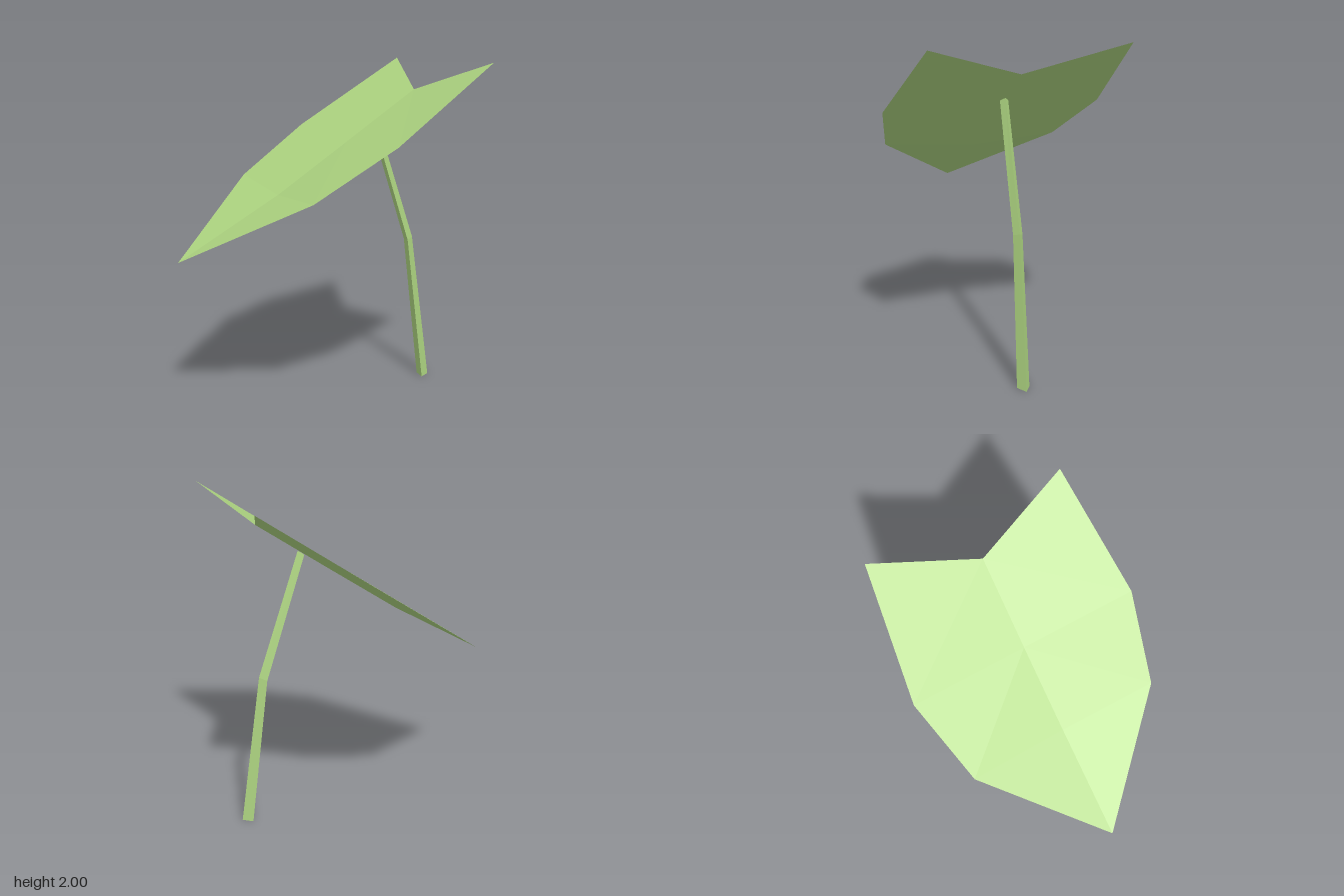
import * as THREE from 'three';

// Flat-shaded mesh from points and triangles
function facetMesh(name, points, triangles, material) {
  const geometry = new THREE.BufferGeometry();
  geometry.setAttribute('position', new THREE.Float32BufferAttribute(points.flat(), 3));
  geometry.setIndex(triangles.flat());
  const flat = geometry.toNonIndexed();
  flat.computeVertexNormals();
  const mesh = new THREE.Mesh(flat, material);
  mesh.name = name;
  return mesh;
}

export function createModel() {
  const group = new THREE.Group();
  group.name = 'leafOnStem';
  const green = new THREE.MeshStandardMaterial({
    color: 0xaed581, flatShading: true, side: THREE.DoubleSide,
  });
  green.name = 'leafGreen';

  // Leaf blade: tip, then rows of right edge, midrib and left edge up to the notch
  const blade = [
    [-0.745, 0.92, 0.805],
    [-0.78, 1.295, 0.0], [-0.35, 1.255, 0.363], [0.06, 1.295, 0.75],
    [-0.57, 1.58, -0.4], [-0.06, 1.54, 0.035], [0.43, 1.58, 0.49],
    [-0.065, 2.0, -0.81], [0.235, 1.83, -0.295], [0.78, 2.0, -0.055],
  ];
  const bladeFaces = [[0, 2, 1], [0, 3, 2]];
  for (const r of [1, 4]) {
    bladeFaces.push([r, r + 1, r + 4], [r, r + 4, r + 3]); // right half
    bladeFaces.push([r + 1, r + 2, r + 4], [r + 2, r + 5, r + 4]); // left half
  }
  group.add(facetMesh('leafBlade', blade, bladeFaces, green));

  // Stem: bent three-sided prism tapering up to the midrib
  const stem = [
    [0.32, 0, -0.39], [0.252, 0, -0.375], [0.305, 0, -0.32],
    [0.235, 0.925, -0.295], [0.185, 0.91, -0.285], [0.225, 0.91, -0.245],
    [0.07, 1.663, -0.11], [0.03, 1.643, -0.105], [0.065, 1.643, -0.07],
  ];
  const stemFaces = [[0, 2, 1], [6, 7, 8]];
  for (const r of [0, 3]) {
    for (let i = 0; i < 3; i++) {
      const a = r + i, b = r + (i + 1) % 3;
      stemFaces.push([a, b, b + 3], [a, b + 3, a + 3]);
    }
  }
  group.add(facetMesh('stem', stem, stemFaces, green));

  return group;
}
